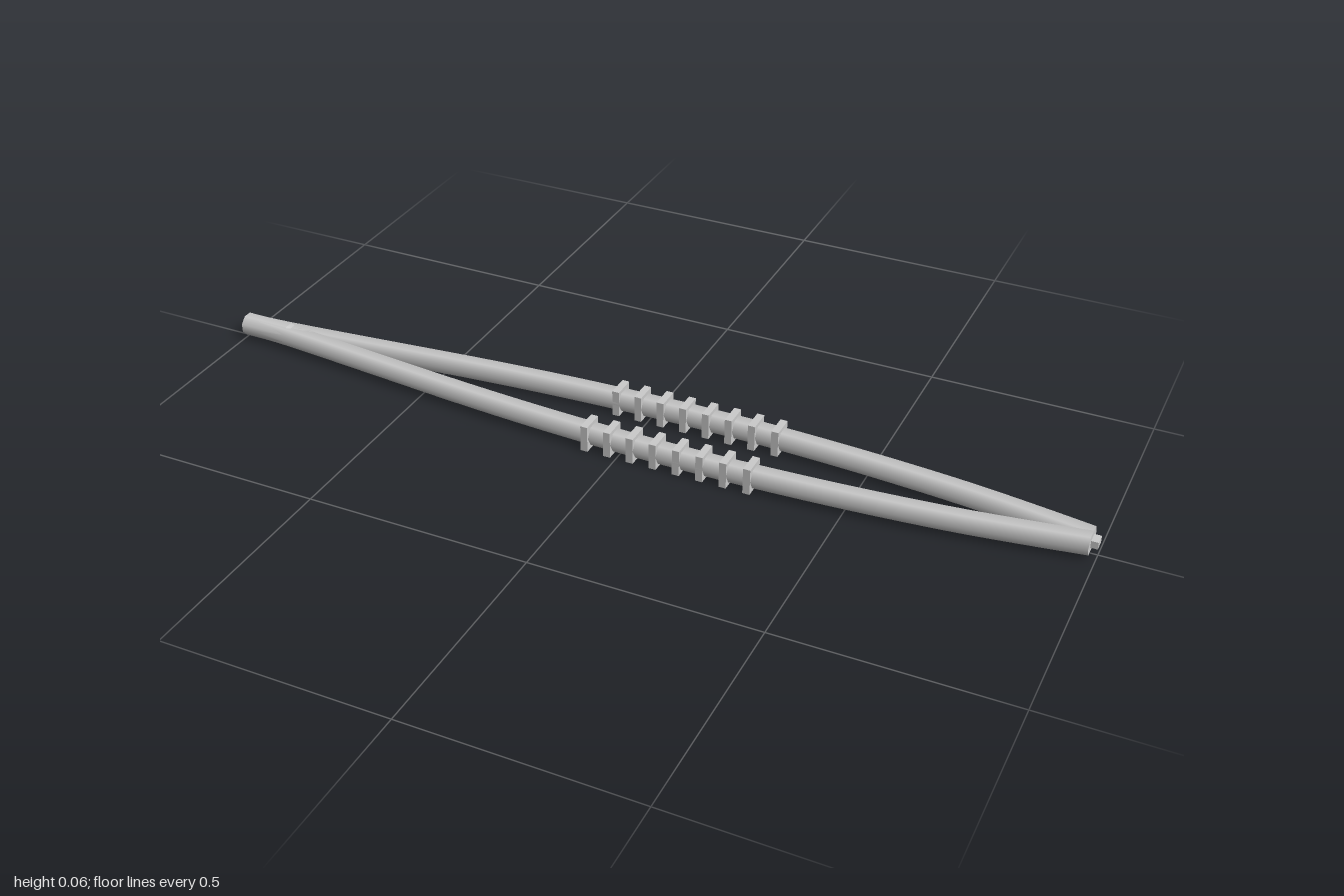
import * as THREE from 'three';

const MID = 0.03; // height of the centre line

export function createModel() {
  const group = new THREE.Group();
  const material = new THREE.MeshStandardMaterial({ color: 0xcccccc });
  const add = (name, geometry, x, y, z, parent = group) => {
    const mesh = new THREE.Mesh(geometry, material);
    mesh.name = name;
    mesh.position.set(x, y, z);
    parent.add(mesh);
    return mesh;
  };

  // Centre line of one bowed arm, seen from above
  const bow = new THREE.SplineCurve([
    [-0.96, 0], [-0.85, 0.008], [-0.6, 0.033], [-0.4, 0.053], [-0.2, 0.068],
    [0, 0.077], [0.15, 0.079], [0.3, 0.077], [0.5, 0.067], [0.7, 0.05],
    [0.85, 0.03], [0.985, 0.0085],
  ].map(([x, z]) => new THREE.Vector2(x, z)));

  for (const side of [1, -1]) {
    const arm = new THREE.Group();
    arm.name = side > 0 ? 'frontArm' : 'backArm';
    group.add(arm);

    // Six-sided rod bent along the bow
    const steps = 32;
    const rod = new THREE.CylinderGeometry(0.025, 0.025, 1, 6, steps);
    rod.rotateZ(-Math.PI / 2);
    const pos = rod.attributes.position;
    for (let i = 0; i < pos.count; i++) {
      const p = bow.getPoint(THREE.MathUtils.clamp(pos.getX(i) + 0.5, 0, 1));
      pos.setX(i, p.x);
      pos.setZ(i, pos.getZ(i) + side * p.y);
    }
    add('armRod', rod, 0, MID, 0, arm);

    // Grip ribs
    for (let i = 0; i < 8; i++) {
      add('gripRib', new THREE.BoxGeometry(0.016, 0.06, 0.052), -0.074 + i * 0.053, MID, side * 0.077, arm);
    }
  }

  // Joined end with a tapered shoulder
  const end = new THREE.CylinderGeometry(0.026, 0.026, 0.115, 8);
  end.rotateY(Math.PI / 8).rotateZ(-Math.PI / 2);
  add('joinedEnd', end, -0.9425, MID, 0);
  const shoulder = new THREE.CylinderGeometry(0.021, 0.026, 0.02, 8);
  shoulder.rotateY(Math.PI / 8).rotateZ(-Math.PI / 2);
  add('endShoulder', shoulder, -0.875, MID, 0);

  // Small block between the tips
  add('tipBlock', new THREE.BoxGeometry(0.05, 0.016, 0.026), 0.975, MID, 0);
  return group;
}
